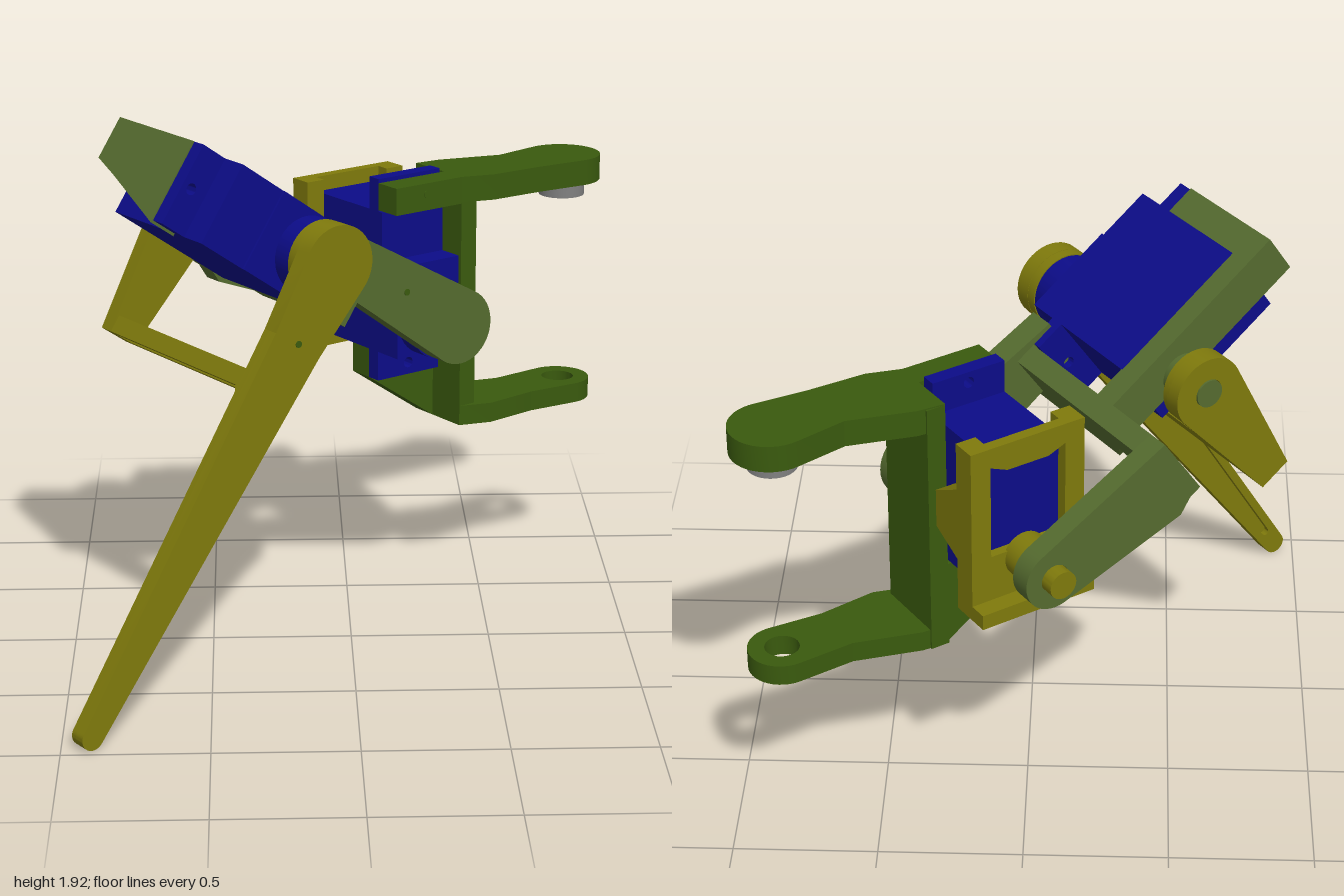
import * as THREE from 'three';
import { toCreasedNormals } from 'three/addons/utils/BufferGeometryUtils.js';

const mat = (color) => new THREE.MeshStandardMaterial({ color });
const yellow = mat(0x7f7a0c), blue = mat(0x0c0c88), green = mat(0x3a5a0e);
const sage = mat(0x556b2f), grey = mat(0x808080), red = mat(0xff4500);

// Convex outline around points [x, y] and discs [x, y, r]
function hull(items) {
  const pts = [];
  for (const [x, y, r] of items) {
    if (!r) { pts.push([x, y]); continue; }
    for (let i = 0; i < 40; i++) {
      const a = (i / 40) * Math.PI * 2;
      pts.push([x + r * Math.cos(a), y + r * Math.sin(a)]);
    }
  }
  pts.sort((a, b) => a[0] - b[0] || a[1] - b[1]);
  const half = (list) => {
    const h = [];
    for (const p of list) {
      while (h.length > 1) {
        const a = h[h.length - 2], b = h[h.length - 1];
        if ((b[0] - a[0]) * (p[1] - a[1]) - (b[1] - a[1]) * (p[0] - a[0]) > 1e-9) break;
        h.pop();
      }
      h.push(p);
    }
    return h.slice(0, -1);
  };
  return [...half(pts), ...half([...pts].reverse())];
}

// Extruded outline; each hole is an outline too
function extrude(outline, depth, holes = []) {
  const vectors = (list) => list.map(([x, y]) => new THREE.Vector2(x, y));
  const shape = new THREE.Shape(vectors(outline));
  for (const hole of holes) shape.holes.push(new THREE.Path(vectors(hole)));
  return new THREE.ExtrudeGeometry(shape, { depth, bevelEnabled: false });
}

function add(parent, name, geometry, material) {
  const mesh = new THREE.Mesh(toCreasedNormals(geometry, 0.5), material);
  mesh.name = name;
  parent.add(mesh);
  return mesh;
}

// Plate facing z, spanning z0..z1; each hole is a list of hull items
const plate = (g, name, m, items, z0, z1, holes = []) =>
  add(g, name, extrude(hull(items), z1 - z0, holes.map(hull)).translate(0, 0, z0), m);

// Plate facing y, outline and holes given as [x, z, r]
const flat = (g, name, m, items, y0, y1, holes = []) => {
  const turned = (list) => hull(list.map(([x, z, r]) => [x, -z, r]));
  return add(g, name, extrude(turned(items), y1 - y0, holes.map(turned))
    .rotateX(-Math.PI / 2).translate(0, y0, 0), m);
};

// Plate facing x, outline given as [z, y], spanning x0..x1
const side = (g, name, m, outline, x0, x1) =>
  add(g, name, extrude(outline, x1 - x0).rotateY(-Math.PI / 2).translate(x1, 0, 0), m);

// Box from its limits
const box = (g, name, m, x0, x1, y0, y1, z0, z1) =>
  add(g, name, new THREE.BoxGeometry(x1 - x0, y1 - y0, z1 - z0)
    .translate((x0 + x1) / 2, (y0 + y1) / 2, (z0 + z1) / 2), m);

// Cylinder along z
const rod = (g, name, m, x, y, r, z0, z1) =>
  add(g, name, new THREE.CylinderGeometry(r, r, z1 - z0, 40).rotateX(Math.PI / 2)
    .translate(x, y, (z0 + z1) / 2), m);

// Servo with its output shaft on the z axis and its body running up y
function servo(name, { left, right, top, back, front }) {
  const g = new THREE.Group();
  g.name = name;
  box(g, 'servoBody', blue, left, right, -0.135, top, back, front);
  box(g, 'servoGearbox', blue, left, right, -0.135, 0.21, front, -0.075);
  rod(g, 'servoGearBoss', blue, 0, 0, 0.135, -0.075, 0.005);
  // Mounting ears, each with a screw hole
  for (const [y0, y1, hole] of [[-0.245, -0.13, -0.2], [top - 0.01, 0.515, 0.475]])
    plate(g, 'servoEar', blue, [[left, y0], [right, y0], [right, y1], [left, y1]], -0.245, -0.19,
      [[[(left + right) / 2, hole, 0.02]]]);
  return g;
}

function buildHip(g) {
  const s = servo('hipServo', { left: -0.14, right: 0.14, top: 0.395, back: -0.57, front: -0.17 });
  s.position.set(0.44, 1.105, -0.045);
  g.add(s);
  // Hip bracket: post, upper and lower arms, servo mounts
  box(g, 'hipPost', green, 0.6, 0.67, 0.655, 1.6, -0.4, -0.13);
  const hx = 1.138, hz = -0.2;
  const arms = [['upperHipArm', 1.51, 1.605, 0.142, -0.08, 0], ['lowerHipArm', 0.655, 0.73, 0.118, -0.105, 0.06]];
  for (const [name, y0, y1, r, waist, hole] of arms) {
    flat(g, name + 'Root', green, [[0.6, -0.4], [0.7, -0.39], [0.93, -0.315], [0.93, waist], [0.72, -0.09], [0.6, -0.13]], y0, y1);
    flat(g, name + 'Head', green, [[0.93, -0.315], [0.93, waist], [hx, hz, r]], y0, y1,
      hole ? [[[hx, hz, hole]]] : []);
  }
  add(g, 'hipBearing', new THREE.CylinderGeometry(0.085, 0.085, 0.07, 40).translate(hx, 1.485, hz), grey);
  box(g, 'upperServoMount', green, 0.3, 0.61, 1.505, 1.605, -0.235, -0.13);
  plate(g, 'lowerServoMount', green, [[0.3, 0.97], [0.3, 0.86], [0.6, 0.655], [0.61, 0.97]], -0.39, -0.29);
  rod(g, 'mountScrew', green, 0.44, 1.565, 0.014, -0.14, -0.127);
  // Rear cradle holding the pivot pin
  const c = new THREE.Group();
  c.name = 'rearCradle';
  g.add(c);
  box(c, 'cradleLowerPlate', yellow, 0.22, 0.66, 0.96, 1.14, -0.65, -0.59);
  box(c, 'cradleBase', yellow, 0.22, 0.66, 0.915, 0.97, -0.715, -0.56);
  plate(c, 'cradleTopBar', yellow, [[0.22, 1.555], [0.66, 1.555], [0.66, 1.515], [0.52, 1.455], [0.36, 1.455], [0.22, 1.515]], -0.65, -0.61);
  const profile = [[-0.65, 0.92], [-0.56, 0.92], [-0.56, 1.11], [-0.43, 1.17], [-0.43, 1.31],
    [-0.56, 1.38], [-0.56, 1.555], [-0.65, 1.555]];
  for (const x of [0.22, 0.585]) side(c, 'cradleSide', yellow, profile, x, x + 0.075);
  rod(c, 'pivotBoss', yellow, 0.45, 1.105, 0.08, -0.75, -0.64);
  rod(c, 'pivotPin', yellow, 0.45, 1.105, 0.05, -0.875, -0.7);
  box(g, 'cablePlug', red, 0.39, 0.45, 0.925, 0.98, -0.6, -0.54);
}

// Thigh frame: origin on the knee axis, x running to the hip
function buildThigh(g) {
  const s = servo('kneeServo', { left: -0.16, right: 0.14, top: 0.41, back: -0.615, front: -0.085 });
  s.rotation.z = Math.PI / 2;
  s.position.z = 0.17;
  g.add(s);
  const H = [0.812, 0.083];
  plate(g, 'thighBackPlate', sage, [[-0.52, 0.14], [0.26, 0.14], [0.26, -0.02], [-0.52, -0.02]], -0.53, -0.44);
  // End plate widens toward the servo ears
  side(g, 'thighEndPlate', sage,
    [[-0.53, 0.14], [-0.53, -0.02], [-0.4, -0.06], [-0.075, -0.17], [-0.075, 0.14]], -0.52, -0.41);
  // Cross plate, cut away where the back plate meets it
  side(g, 'thighCrossPlate', sage, [[-0.83, 0.14], [-0.83, -0.12], [-0.53, -0.02],
    [-0.44, -0.14], [0.055, -0.14], [0.055, 0.14]], 0.25, 0.33);
  plate(g, 'thighFrontArm', sage, [[0.16, 0.155], [0.16, -0.04], [...H, 0.138]], -0.045, 0.055);
  plate(g, 'thighBackArm', sage, [[0.25, 0.14], [0.25, -0.1], [0.36, -0.145], [...H, 0.112]], -0.83, -0.75,
    [[[...H, 0.052]]]);
  rod(g, 'thighScrew', green, 0.51, 0.083, 0.012, 0.05, 0.058);
  rod(g, 'kneePivotBoss', sage, 0, 0, 0.08, -0.61, -0.5);
  rod(g, 'kneePivotPin', sage, 0, 0, 0.05, -0.685, -0.5);
}

// Shin: hangs at a right angle to the thigh
function buildShin(g) {
  plate(g, 'shinUpper', yellow, [[0, 0, 0.14], [0, -0.3, 0.108]], 0.215, 0.28);
  plate(g, 'shinLower', yellow, [[0, -0.3, 0.108], [0, -1.785, 0.042]], 0.24, 0.28);
  // Raised rim around the inner face of the shin
  plate(g, 'shinRim', yellow, [[0, -0.3, 0.108], [0, -1.785, 0.042]], 0.215, 0.24,
    [[[0, -0.62, 0.062], [0, -1.7, 0.015]]]);
  rod(g, 'kneeHub', yellow, 0, 0, 0.139, 0.175, 0.22);
  rod(g, 'shinScrew', green, 0, -0.3, 0.012, 0.27, 0.283);
  plate(g, 'shinBackArm', yellow, [[0, 0, 0.13], [-0.065, -0.515], [0.06, -0.515]], -0.68, -0.62, [[[0, 0, 0.052]]]);
  plate(g, 'backHub', yellow, [[0, 0, 0.13]], -0.63, -0.6, [[[0, 0, 0.082]]]);
  // Cross beam, channelled underneath, with a gusset at the shin end
  box(g, 'beamWeb', yellow, -0.065, 0.06, -0.49, -0.45, -0.68, 0.22);
  for (const x of [-0.065, 0.03]) box(g, 'beamFlange', yellow, x, x + 0.03, -0.515, -0.485, -0.68, 0.22);
  side(g, 'beamGusset', yellow, hull([[0.22, -0.49], [0.15, -0.49], [0.15, -0.515], [0.22, -0.59]]), -0.06, 0.06);
}

export function createModel() {
  const model = new THREE.Group();
  model.name = 'robotLeg';
  const leg = new THREE.Group();
  leg.name = 'legAssembly';
  leg.rotation.y = THREE.MathUtils.degToRad(35);
  model.add(leg);
  const knee = (name) => {
    const g = new THREE.Group();
    g.name = name;
    g.position.set(-0.26, 1.505, 0);
    g.rotation.z = THREE.MathUtils.degToRad(-35);
    leg.add(g);
    return g;
  };
  const hip = new THREE.Group();
  hip.name = 'hip';
  leg.add(hip);
  buildHip(hip);
  buildThigh(knee('thigh'));
  buildShin(knee('shin'));
  return model;
}
